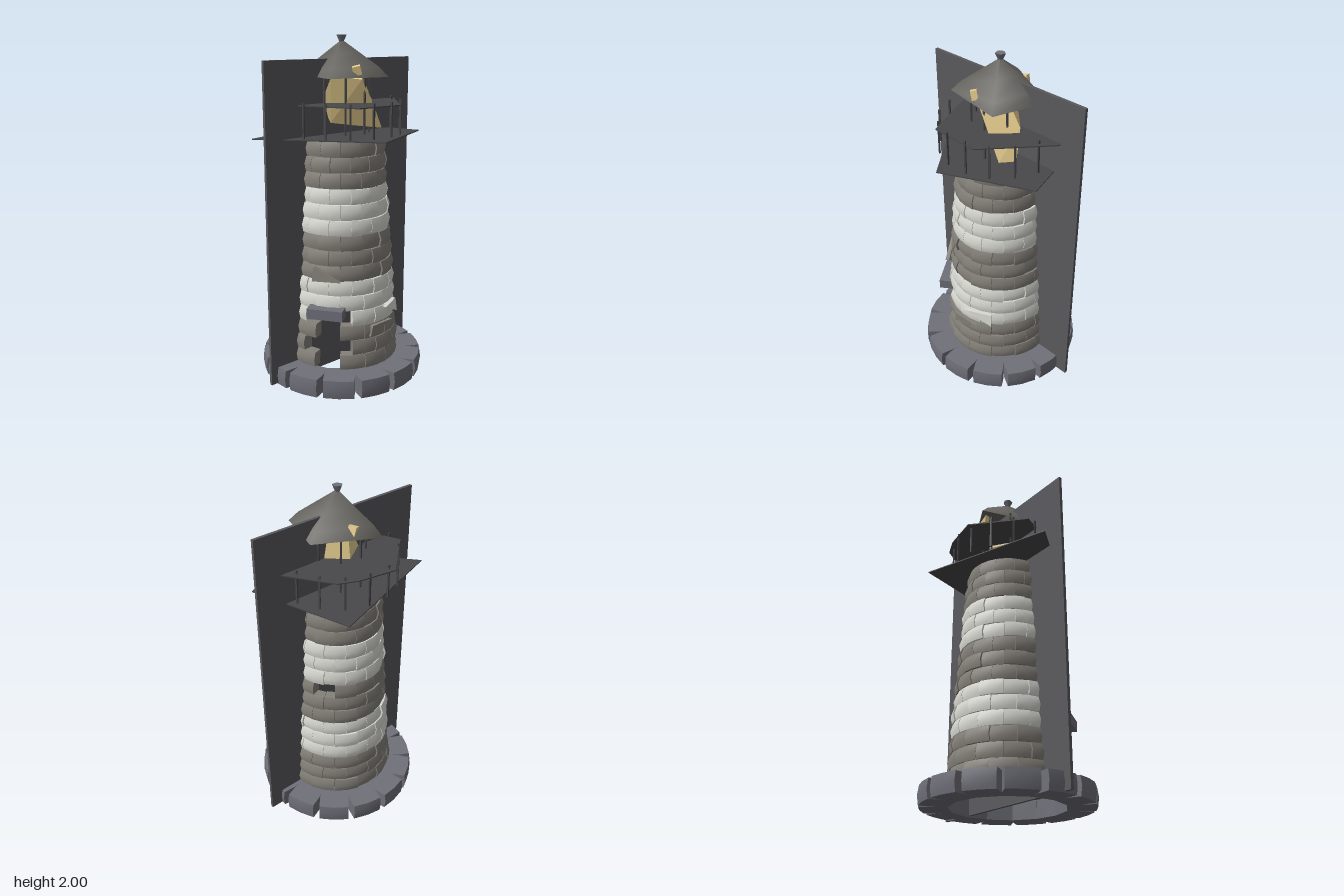
import * as THREE from 'three';
import { ConvexGeometry } from 'three/addons/geometries/ConvexGeometry.js';

const mat = (color, side = THREE.FrontSide) => new THREE.MeshStandardMaterial({ color, side });
const V = (x, y, z) => new THREE.Vector3(x, y, z);

export function createModel() {
  const model = new THREE.Group();
  const darkStone = mat(0x85817a), paleStone = mat(0xdadad4), baseStone = mat(0x70707a);
  const iron = mat(0x48484b, THREE.DoubleSide), roofMat = mat(0x66645f, THREE.DoubleSide);
  const glow = mat(0xe8cf90, THREE.DoubleSide), wallMat = mat(0x5a5a5e, THREE.DoubleSide);

  let seed = 7;
  const rand = () => (seed = (seed * 16807) % 2147483647) / 2147483647;

  const add = (name, geo, material, parent = model) => {
    const m = new THREE.Mesh(geo, material);
    m.name = name;
    parent.add(m);
    return m;
  };
  const group = (name) => {
    const g = new THREE.Group();
    g.name = name;
    model.add(g);
    return g;
  };

  // A block bent round the tower axis, bulging slightly on its outer face
  function brick(angle, span, r, y, h, depth) {
    const g = new THREE.BoxGeometry(1, 1, 1, 2, 2, 1);
    const p = g.attributes.position;
    for (let i = 0; i < p.count; i++) {
      const a = angle + p.getX(i) * span;
      const t = p.getY(i);
      const bulge = p.getZ(i) > 0 ? 0.012 * (1 - 4 * t * t) : -depth;
      const rad = r - 0.006 * t + bulge;
      p.setXYZ(i, Math.sin(a) * rad, y + (t + 0.5) * h, Math.cos(a) * rad);
    }
    g.computeVertexNormals();
    return g;
  }

  // Foundation ring of chunky stones, narrower towards the middle
  const N = 14, step = (Math.PI * 2) / N;
  const base = group('foundationRing');
  for (let i = 0; i < N; i++) {
    const g = new THREE.BoxGeometry(0.178, 0.108, 0.165, 2, 2, 2);
    const p = g.attributes.position;
    for (let k = 0; k < p.count; k++) {
      const x = p.getX(k), y = p.getY(k), z = p.getZ(k);
      const mid = z > 0.05 && Math.abs(x) < 0.01 ? 0.008 : 0;
      p.setXYZ(k, x * (z < -0.05 ? 0.84 : 1), y, z + mid - (Math.abs(y) > 0.05 && z > 0.05 ? 0.008 : 0));
    }
    g.computeVertexNormals();
    const a = (i + 0.5) * step;
    const m = add('foundationStone', g, baseStone, base);
    m.position.set(Math.sin(a) * 0.398, 0.056, Math.cos(a) * 0.398);
    m.rotation.y = a + (rand() - 0.5) * 0.06;
  }

  // Tower: fifteen courses in bands of three, with a doorway and a back window left open
  const tower = group('tower');
  const courses = 15, y0 = 0.11, h = 0.088;
  for (let c = 0; c < courses; c++) {
    const odd = c % 2;
    const r = 0.332 - (0.087 * c) / (courses - 1);
    const material = Math.floor(c / 3) % 2 ? paleStone : darkStone;
    for (let i = 0; i < N; i++) {
      const door = c < 4 && (i === 0 || (odd && i === N - 1));
      const window = c === 8 && i === N / 2;
      if (door || window) continue;
      const a = (i + odd * 0.5) * step;
      add('brick', brick(a, step * 0.985, r + (rand() - 0.5) * 0.012, y0 + c * h, h * 0.97, 0.06), material, tower);
    }
  }

  // Door lintel
  add('doorLintel', new THREE.BoxGeometry(0.21, 0.06, 0.08), baseStone).position.set(-0.005, 0.458, 0.335);

  // Loose stone shards lying against the wall
  const shards = [
    [darkStone, V(-0.09, 0.64, 0.33), V(0.08, 0.645, 0.335), V(-0.08, 0.725, 0.325)],
    [paleStone, V(0.31, 0.46, 0.17), V(0.345, 0.38, 0), V(0.335, 0.46, 0)],
    [darkStone, V(0.24, 0.3, 0.25), V(0.335, 0.365, 0.1), V(0.25, 0.365, 0.24)],
  ];
  for (const [material, ...pts] of shards) {
    const inner = pts.map((p) => V(p.x * 0.93, p.y, p.z * 0.93));
    add('stoneShard', new ConvexGeometry([...pts, ...inner]), material);
  }

  // Thin upright slab through the tower, set on the diagonal
  const slab = add('diagonalSlab', new THREE.BoxGeometry(1.085, 1.86, 0.018), wallMat);
  slab.position.set(-0.01, 0.94, -0.025);
  slab.rotation.y = Math.atan2(0.89, 0.61);

  // Gallery floor and rail plate
  function plate(name, pts, y) {
    const shape = new THREE.Shape(pts.map(([x, z]) => new THREE.Vector2(x, z)));
    const g = new THREE.ExtrudeGeometry(shape, { depth: 0.006, bevelEnabled: false });
    g.rotateX(Math.PI / 2);
    add(name, g, iron).position.y = y;
  }
  plate('galleryFloor', [[-0.42, 0.345], [-0.19, -0.455], [0.41, -0.255], [0.32, 0.29]], 1.445);
  plate('galleryRail', [[-0.31, 0.22], [-0.355, -0.14], [-0.2, -0.3], [-0.1, -0.36], [0.24, -0.35], [0.355, 0.08], [0.18, 0.32]], 1.625);

  // Rings of thin posts: railing and lantern
  function posts(name, count, r, yA, yB, size, offset) {
    const g = group(name + 's');
    for (let i = 0; i < count; i++) {
      const a = ((i + offset) / count) * Math.PI * 2;
      const m = add(name, new THREE.BoxGeometry(size, yB - yA, size), iron, g);
      m.position.set(Math.sin(a) * r, (yA + yB) / 2, Math.cos(a) * r);
      m.rotation.y = a;
    }
  }
  posts('railingPost', 16, 0.342, 1.45, 1.645, 0.01, 0);
  posts('lanternPost', 8, 0.16, 1.45, 1.8, 0.01, 0.5);

  // Glowing lantern body, faceted and lopsided
  add('lanternGlass', new ConvexGeometry([
    V(-0.03, 1.77, 0.12), V(0.14, 1.76, 0.09), V(0.1, 1.78, -0.06), V(-0.08, 1.77, -0.07),
    V(-0.1, 1.62, 0.09), V(-0.1, 1.6, -0.09), V(0.14, 1.65, -0.13),
    V(-0.05, 1.51, 0.06), V(0.23, 1.48, -0.03), V(0.2, 1.48, -0.12), V(0.02, 1.48, -0.1),
  ]), glow);
  // Glass corners showing through the roof
  for (const s of [1, -1]) {
    const m = add('lanternCorner', new THREE.BoxGeometry(0.045, 0.05, 0.035), glow);
    m.position.set(s * 0.117, 1.81, s * 0.117);
    m.rotation.set(0.2, s * 0.2, 0.2);
  }

  // Four-cornered roof: upper cone and flared eave, smooth shaded
  const corners = [[-0.27, -0.08], [0, 0.27], [0.27, -0.005], [0.07, -0.26]];
  const tiers = [[0, 1.975], [0.4, 1.9], [0.8, 1.825], [1, 1.77]];
  const pos = [], idx = [];
  for (const [k, y] of tiers) for (const [x, z] of corners) pos.push(x * k, y, z * k);
  for (let t = 0; t < 3; t++) {
    for (let i = 0; i < 4; i++) {
      const a = t * 4 + i, b = t * 4 + ((i + 1) % 4);
      if (t) idx.push(a, a + 4, b);
      idx.push(b, a + 4, b + 4);
    }
  }
  const roof = new THREE.BufferGeometry();
  roof.setAttribute('position', new THREE.Float32BufferAttribute(pos, 3));
  roof.setIndex(idx);
  roof.computeVertexNormals();
  add('roof', roof, roofMat);

  // Finial
  const finial = add('finial', new THREE.CylinderGeometry(0.03, 0.014, 0.036, 5), baseStone);
  finial.position.set(-0.003, 1.982, 0);
  finial.rotation.y = 0.4;

  return model;
}
